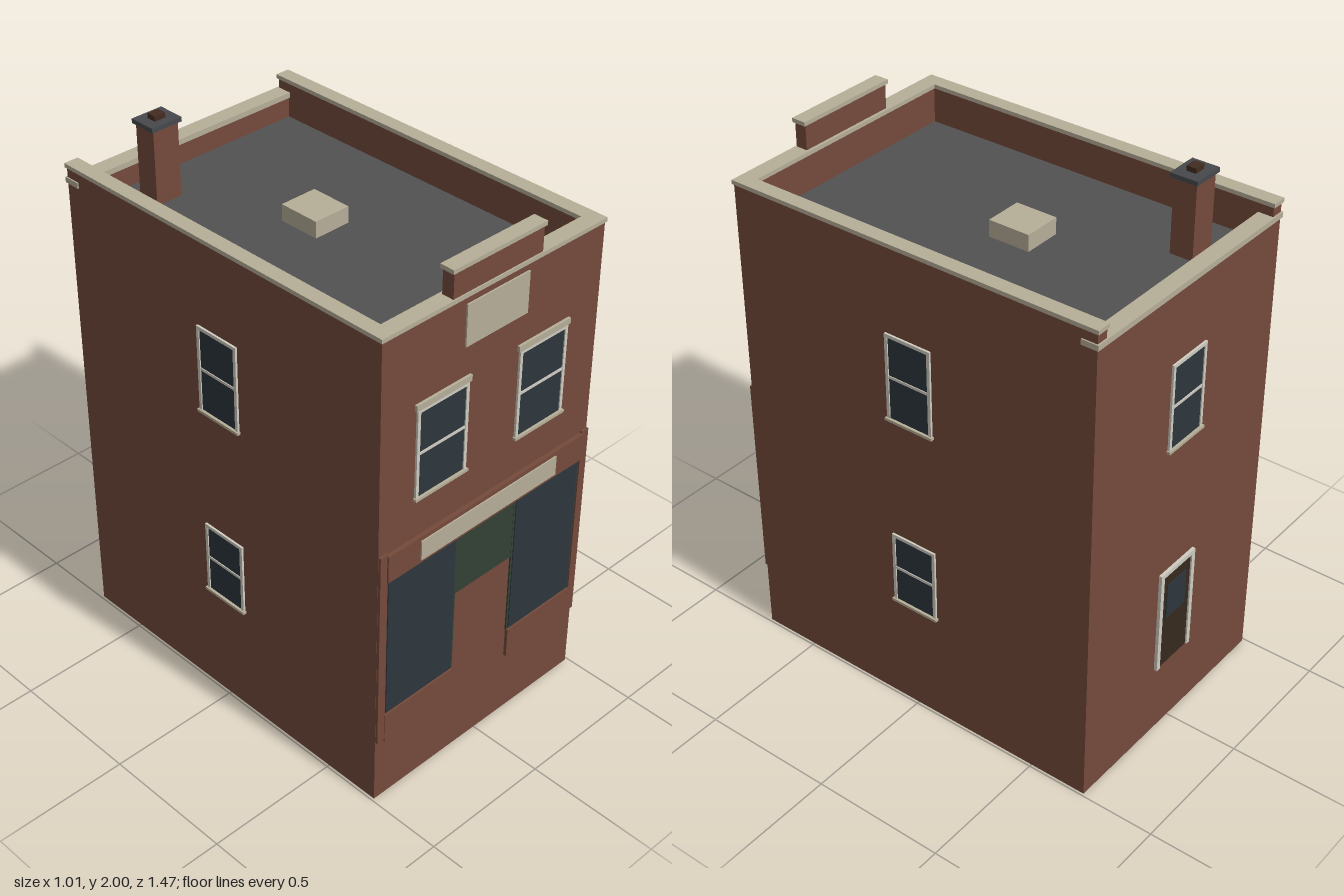
import * as THREE from 'three';

const mat = (name, color) => {
  const m = new THREE.MeshStandardMaterial({ color });
  m.name = name;
  return m;
};

export function createModel() {
  const brick = mat('brick', 0x744a3b);
  const stone = mat('stone', 0xb6ae98);
  const trim = mat('window trim', 0xcfcbc0);
  const glass = mat('glass', 0x2d363d);
  const green = mat('shopfront green', 0x334034);
  const roofing = mat('roofing', 0x525252);
  const slate = mat('chimney slate', 0x47484b);
  const flueBrown = mat('flue brown', 0x432c20);
  const doorBrown = mat('door brown', 0x35291e);

  const model = new THREE.Group();
  model.name = 'shopBuilding';

  // Box given by its lowest and highest corner
  const box = (parent, name, material, x0, x1, y0, y1, z0, z1) => {
    const mesh = new THREE.Mesh(new THREE.BoxGeometry(x1 - x0, y1 - y0, z1 - z0), material);
    mesh.position.set((x0 + x1) / 2, (y0 + y1) / 2, (z0 + z1) / 2);
    mesh.name = name;
    parent.add(mesh);
    return mesh;
  };
  const group = (name, x = 0, y = 0, z = 0, turn = 0) => {
    const g = new THREE.Group();
    g.name = name;
    g.position.set(x, y, z);
    g.rotation.y = turn;
    model.add(g);
    return g;
  };

  const W = 0.49, F = 0.715, B = -0.72, ROOF = 1.695, TOP = 1.825;

  // Main block and flat roof
  box(model, 'body', brick, -W, W, 0, ROOF - 0.005, B, F);
  box(model, 'roof', roofing, -0.45, 0.45, ROOF - 0.005, ROOF, B + 0.05, F - 0.05);
  box(model, 'roofHatch', stone, -0.072, 0.072, ROOF, 1.756, -0.15, 0.008);

  // Parapet walls and copings; the back wall is lower
  for (const s of [-1, 1]) {
    const a = s < 0 ? -W : 0.445, b = s < 0 ? -0.445 : W;
    const c = s < 0 ? -0.495 : 0.44, d = s < 0 ? -0.44 : 0.495;
    box(model, 'sideParapet', brick, a, b, ROOF - 0.005, TOP, B, F);
    box(model, 'sideCoping', stone, c, d, TOP, 1.84, B - 0.006, F + 0.005);
  }
  box(model, 'frontParapet', brick, -0.445, 0.445, ROOF - 0.005, TOP, F - 0.05, F);
  box(model, 'frontCoping', stone, -0.44, 0.44, TOP, 1.84, F - 0.056, F + 0.005);
  box(model, 'backParapet', brick, -0.445, 0.445, ROOF - 0.005, 1.772, B, B + 0.05);
  box(model, 'backCoping', stone, -0.495, 0.495, 1.77, 1.79, B - 0.006, B + 0.056);

  // Raised centre of the front parapet
  box(model, 'raisedParapet', brick, -0.197, 0.197, 1.84, 1.93, F - 0.045, F);
  box(model, 'raisedCoping', stone, -0.205, 0.205, 1.93, 1.945, F - 0.05, F + 0.005);
  box(model, 'namePlate', stone, -0.138, 0.138, 1.65, 1.8, F, F + 0.006);

  // Chimney
  box(model, 'chimney', brick, -0.3, -0.197, ROOF, 1.966, -0.588, -0.502);
  box(model, 'chimneyCap', slate, -0.31, -0.187, 1.966, 1.982, -0.596, -0.494);
  box(model, 'flue', flueBrown, -0.271, -0.227, 1.982, 2, -0.563, -0.527);

  // Sash window, built facing +z with its sill at y = 0
  const sashWindow = (name, x, y, z, turn, w, h, lintel) => {
    const g = group(name, x, y, z, turn);
    const t = 0.012, r = w / 2;
    box(g, 'pane', glass, -r + t, r - t, 0.008, h - t, 0, 0.004);
    box(g, 'leftTrim', trim, r - t, r, 0.008, h, 0, 0.008);
    box(g, 'rightTrim', trim, -r, -r + t, 0.008, h, 0, 0.008);
    box(g, 'topTrim', trim, -r + t, r - t, h - t, h, 0, 0.008);
    box(g, 'meetingRail', trim, -r + t, r - t, h * 0.51 - 0.005, h * 0.51 + 0.005, 0, 0.007);
    box(g, 'sill', stone, -r - 0.005, r + 0.005, -0.002, 0.008, 0, 0.014);
    if (lintel) box(g, 'lintel', stone, -r - 0.008, r + 0.008, h, h + 0.022, 0, 0.01);
  };
  for (const s of [-1, 1]) {
    sashWindow('frontWindow', s * 0.227, 1.184, F, 0, 0.224, 0.335, true);
    sashWindow('upperSideWindow', s * W, 1.184, -0.002, s * Math.PI / 2, 0.184, 0.328, false);
    sashWindow('lowerSideWindow', s * W, 0.43, -0.002, s * Math.PI / 2, 0.184, 0.286, false);
  }
  sashWindow('backWindow', 0, 1.184, B, Math.PI, 0.184, 0.328, false);

  // Back door
  const door = group('backDoor', 0, 0.275, B, Math.PI);
  box(door, 'doorLeaf', doorBrown, -0.08, 0.08, 0, 0.395, 0, 0.006);
  box(door, 'doorPane', glass, -0.055, 0.055, 0.205, 0.345, 0.006, 0.009);
  box(door, 'doorHead', trim, -0.098, 0.098, 0.395, 0.412, 0, 0.012);
  for (const s of [-1, 1]) {
    box(door, 'doorJamb', trim, s * 0.089 - 0.009, s * 0.089 + 0.009, 0, 0.395, 0, 0.012);
  }

  // Shopfront: display windows either side of the entrance
  for (const s of [-1, 1]) {
    const side = group(s > 0 ? 'leftShopWindow' : 'rightShopWindow', s * 0.297, 0, F);
    box(side, 'greenFrame', green, -0.162, 0.162, 0.366, 0.932, 0, 0.005);
    box(side, 'displayGlass', glass, -0.153, 0.153, 0.372, 0.924, 0.005, 0.008);
    box(side, 'basePanel', brick, -0.16, 0.16, 0.25, 0.368, 0, 0.012);
    const px = s * 0.176;
    box(side, 'pilaster', brick, px - 0.016, px + 0.016, 0.26, 1.042, 0, 0.01);
  }
  box(model, 'entrancePanel', green, -0.137, 0.137, 0.69, 0.932, F, F + 0.004);
  box(model, 'shopFascia', brick, -0.46, 0.46, 0.932, 1.035, F, F + 0.016);
  box(model, 'signBoard', stone, -0.318, 0.318, 0.945, 1.02, F + 0.016, F + 0.021);

  return model;
}
